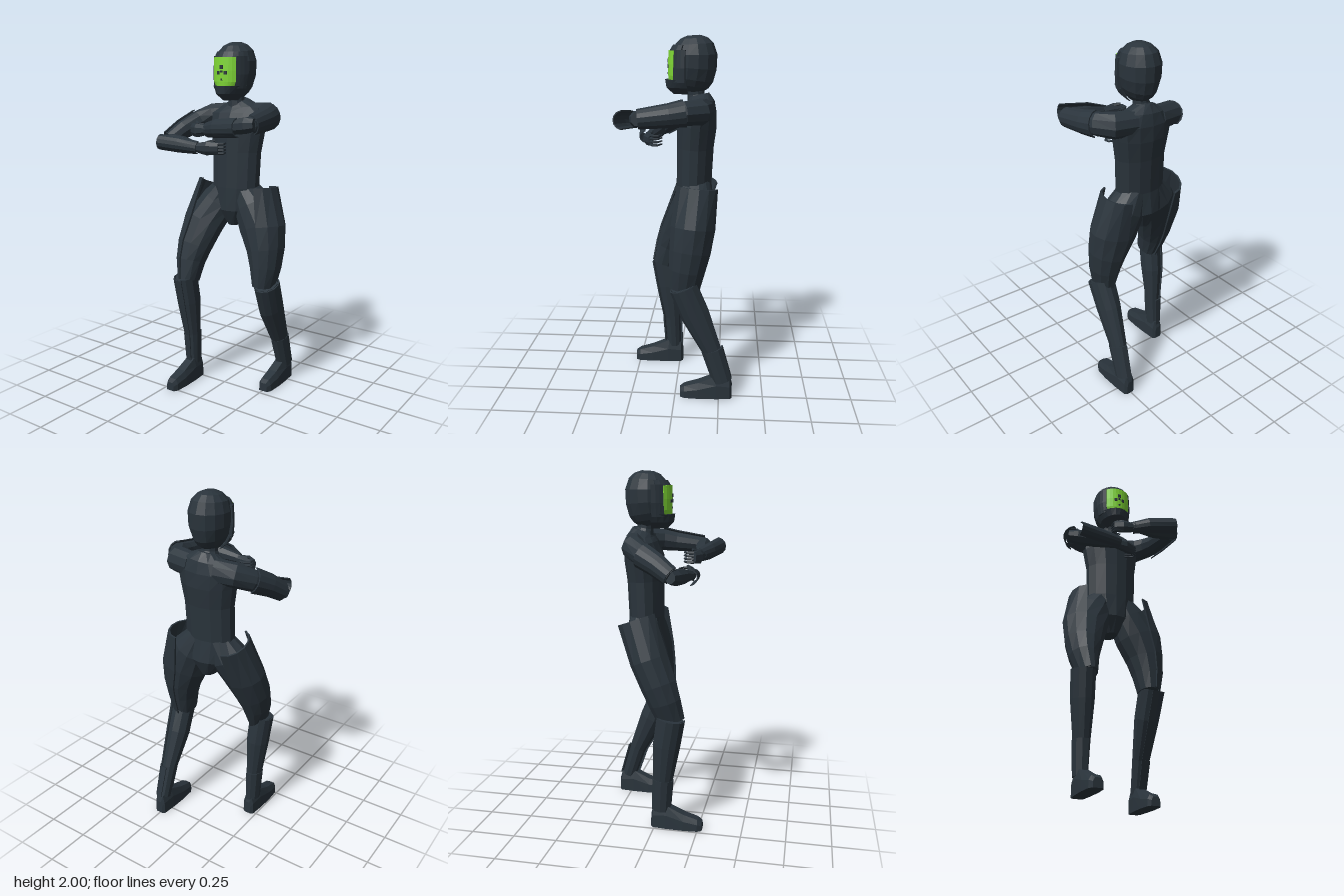
import * as THREE from 'three';

const suit = new THREE.MeshStandardMaterial({ color: 0x2a343c });
suit.name = 'dark slate suit';
const lime = new THREE.MeshStandardMaterial({ color: 0x80d836 });
lime.name = 'lime visor';

// Closed cross-sections, counter-clockwise
const ring = (n) => Array.from({ length: n }, (_, i) => {
  const t = ((i + 0.5) / n) * Math.PI * 2;
  return [Math.cos(t), Math.sin(t)];
});
const arc = (mid, half, inner = 0.9, n = 6) => {
  const pts = [];
  for (let k = 0; k < 2; k++) {
    for (let i = 0; i <= n; i++) {
      const f = k ? n - i : i;
      const t = THREE.MathUtils.degToRad(mid - half + (2 * half * f) / n);
      const r = k ? inner : 1;
      pts.push([Math.cos(t) * r, Math.sin(t) * r]);
    }
  }
  return pts;
};
const sole = [[-1, 0], [1, 0], [0.95, 0.6], [0.6, 1], [-0.6, 1], [-0.95, 0.6]];

const X = new THREE.Vector3(1, 0, 0), Y = new THREE.Vector3(0, 1, 0);

// Sweeps a cross-section through rows of [x, y, z, radiusU, radiusV]; U follows ref
function loft(name, rows, profile, ref = X, material = suit) {
  const c = rows.map((r) => new THREE.Vector3(r[0], r[1], r[2]));
  const n = profile.length, pos = [], idx = [];
  rows.forEach((r, i) => {
    const t = c[Math.min(i + 1, c.length - 1)].clone().sub(c[Math.max(i - 1, 0)]).normalize();
    const u = ref.clone().addScaledVector(t, -ref.dot(t)).normalize();
    const v = t.clone().cross(u);
    for (const [a, b] of profile) {
      const p = c[i].clone().addScaledVector(u, a * r[3]).addScaledVector(v, b * r[4]);
      pos.push(p.x, p.y, p.z);
    }
  });
  for (let i = 0; i < rows.length - 1; i++) {
    for (let j = 0; j < n; j++) {
      const a = i * n + j, b = i * n + ((j + 1) % n);
      idx.push(a, b, b + n, a, b + n, a + n);
    }
  }
  const caps = THREE.ShapeUtils.triangulateShape(profile.map((p) => new THREE.Vector2(...p)), []);
  const end = (rows.length - 1) * n;
  for (const [a, b, d] of caps) idx.push(a, d, b, end + a, end + b, end + d);
  let g = new THREE.BufferGeometry();
  g.setAttribute('position', new THREE.Float32BufferAttribute(pos, 3));
  g.setIndex(idx);
  g = g.toNonIndexed();
  g.computeVertexNormals();
  const m = new THREE.Mesh(g, material);
  m.name = name;
  return m;
}

const grow = (rows, d) => rows.map(([x, y, z, a, b]) => [x, y, z, a + d, b + d]);

// Leg with outer thigh plate, shin guard, ankle cuff and foot
function leg(name, s, thigh, plateTop, shin, footX, footZ) {
  const g = new THREE.Group();
  g.name = name;
  const out = s > 0 ? 0 : 180;
  g.add(loft('thigh', thigh, ring(12)));
  g.add(loft('shin', shin, ring(10)));
  g.add(loft('thighPlate', [plateTop, ...grow(thigh.slice(2), 0.012)], arc(out - s * 8, 84)));
  g.add(loft('shinGuard', grow(shin.slice(0, 3), 0.01), arc(out + s * 20, 85)));
  g.add(loft('ankleCuff', grow(shin.slice(2), 0.014), arc(out, 105, 0.85)));
  const foot = [[-0.02, 0.02, 0.08], [-0.008, 0.035, 0.12], [0.07, 0.042, 0.135],
    [0.17, 0.045, 0.09], [0.25, 0.04, 0.066], [0.275, 0.026, 0.05]];
  g.add(loft('foot', foot.map(([fz, w, h]) => [footX, 0, fz + footZ, w, h]), sole));
  return g;
}

// Arm with guards, hand and curled fingers
function arm(name, s, upper, fore, hand, guard, tips) {
  const g = new THREE.Group();
  g.name = name;
  g.add(loft('upperArm', upper, ring(10), Y));
  g.add(loft('forearm', fore, ring(8), Y));
  g.add(loft('hand', hand, ring(8), Y));
  g.add(loft('upperArmGuard', grow(upper.slice(2), 0.012), arc(-s * 75, 75), Y));
  g.add(loft('forearmGuard', guard, arc(90, 80, 0.88), Y));
  for (let i = 0; i < 4; i++) {
    const dy = (i - 1.5) * 0.017;
    const rows = tips.map(([x, y, z], k) => [x, y + dy, z, 0.009 - k * 0.0015, 0.009 - k * 0.0015]);
    g.add(loft('finger', rows, ring(5), Y));
  }
  const [hx, hy, hz] = hand[1];
  g.add(loft('thumb', [[hx, hy + 0.03, hz, 0.012, 0.012],
    [hx - s * 0.03, hy + 0.042, hz - 0.03, 0.008, 0.008]], ring(5), Y));
  return g;
}

function head() {
  const g = new THREE.Group();
  g.name = 'head';
  const cx = 0.015;
  g.add(loft('helmet', [[cx, 1.705, -0.07, 0.045, 0.06], [cx, 1.735, -0.074, 0.07, 0.095],
    [cx, 1.77, -0.08, 0.09, 0.113], [cx, 1.83, -0.089, 0.107, 0.122],
    [cx, 1.9, -0.091, 0.109, 0.123], [cx, 1.955, -0.088, 0.092, 0.105],
    [cx, 1.985, -0.086, 0.062, 0.074], [cx, 2, -0.085, 0.028, 0.035]], ring(14)));
  // Rim pieces framing the face
  g.add(loft('chinGuard', [[cx, 1.69, -0.065, 0.04, 0.09], [cx, 1.725, -0.065, 0.078, 0.127],
    [cx, 1.768, -0.065, 0.1, 0.134]], arc(-90, 85, 0.85, 10)));
  g.add(loft('brow', [[cx, 1.917, -0.082, 0.109, 0.129], [cx, 1.95, -0.082, 0.096, 0.108]],
    arc(-90, 62, 0.85, 8)));
  for (const s of [-1, 1]) {
    g.add(loft('cheek', [[cx, 1.755, -0.08, 0.104, 0.138], [cx, 1.83, -0.08, 0.114, 0.133],
      [cx, 1.925, -0.08, 0.109, 0.128]], arc(-90 + s * 58, 16, 0.85, 3)));
  }
  g.add(loft('visor', [[cx, 1.762, -0.08, 0.092, 0.13], [cx, 1.79, -0.08, 0.109, 0.132],
    [cx, 1.85, -0.08, 0.111, 0.133], [cx, 1.922, -0.08, 0.109, 0.13]],
  arc(-90, 41, 0.95, 8), X, lime));
  // Small dark marks on the visor
  for (const [dx, y, w] of [[-0.022, 1.838, 0.018], [0.024, 1.838, 0.018], [0, 1.868, 0.02],
    [0, 1.845, 0.012], [0, 1.802, 0.01]]) {
    const mark = new THREE.Mesh(new THREE.BoxGeometry(w, w, 0.006), suit);
    mark.name = 'visorMark';
    mark.position.set(cx + dx, y, -0.08 + 0.133 * Math.sqrt(1 - (dx / 0.11) ** 2));
    mark.rotation.y = Math.asin(dx / 0.11);
    g.add(mark);
  }
  return g;
}

export function createModel() {
  const model = new THREE.Group();
  model.name = 'armouredFigure';
  model.add(head());
  model.add(loft('neck', [[0.01, 1.64, -0.11, 0.065, 0.06], [0.013, 1.69, -0.1, 0.045, 0.046],
    [0.015, 1.78, -0.09, 0.045, 0.048]], ring(10)));
  model.add(loft('torso', [[0.015, 0.975, -0.1, 0.04, 0.06], [0.015, 1.07, -0.1, 0.125, 0.105],
    [0.015, 1.2, -0.092, 0.148, 0.098], [0.018, 1.4, -0.098, 0.152, 0.102],
    [0.018, 1.52, -0.105, 0.172, 0.11], [0.017, 1.605, -0.123, 0.185, 0.092],
    [0.015, 1.65, -0.126, 0.13, 0.076], [0.012, 1.685, -0.118, 0.056, 0.055]], ring(14)));

  model.add(leg('leftLeg', 1,
    [[0.07, 1.2, -0.1, 0.07, 0.085], [0.125, 1.1, -0.105, 0.115, 0.108],
      [0.188, 0.98, -0.095, 0.135, 0.112], [0.222, 0.85, -0.08, 0.105, 0.103],
      [0.232, 0.75, -0.065, 0.083, 0.09], [0.232, 0.64, -0.05, 0.056, 0.075]],
    [0.165, 1.2, -0.115, 0.1, 0.115],
    [[0.25, 0.66, -0.05, 0.07, 0.074], [0.245, 0.5, -0.115, 0.064, 0.076],
      [0.25, 0.29, -0.21, 0.044, 0.05], [0.255, 0.1, -0.27, 0.036, 0.044]], 0.255, -0.305));
  model.add(leg('rightLeg', -1,
    [[-0.04, 1.2, -0.1, 0.07, 0.08], [-0.095, 1.1, -0.085, 0.112, 0.1],
      [-0.16, 0.98, -0.035, 0.123, 0.103], [-0.188, 0.84, 0.025, 0.1, 0.095],
      [-0.195, 0.75, 0.058, 0.078, 0.085], [-0.187, 0.64, 0.092, 0.05, 0.07]],
    [-0.14, 1.2, -0.115, 0.095, 0.115],
    [[-0.212, 0.66, 0.092, 0.064, 0.072], [-0.205, 0.5, 0.066, 0.06, 0.07],
      [-0.198, 0.29, 0.045, 0.042, 0.048], [-0.197, 0.1, 0.036, 0.033, 0.042]], -0.2, 0));

  model.add(arm('leftArm', 1,
    [[0.09, 1.605, -0.145, 0.07, 0.06], [0.2, 1.61, -0.125, 0.07, 0.068],
      [0.25, 1.608, -0.05, 0.064, 0.06], [0.268, 1.597, 0.03, 0.055, 0.053],
      [0.285, 1.58, 0.19, 0.043, 0.042]],
    [[0.318, 1.585, 0.19, 0.035, 0.03], [0.27, 1.58, 0.195, 0.045, 0.042],
      [0.16, 1.565, 0.2, 0.043, 0.04], [0.03, 1.545, 0.22, 0.027, 0.024]],
    [[0.04, 1.545, 0.215, 0.026, 0.022], [-0.03, 1.54, 0.21, 0.04, 0.026],
      [-0.078, 1.54, 0.19, 0.034, 0.016]],
    [[0.03, 1.545, 0.2, 0.04, 0.034], [0.12, 1.56, 0.24, 0.05, 0.045],
      [0.275, 1.575, 0.27, 0.052, 0.055]],
    [[-0.074, 1.54, 0.19], [-0.076, 1.54, 0.155], [-0.05, 1.54, 0.135], [-0.018, 1.54, 0.137]]));
  model.add(arm('rightArm', -1,
    [[-0.06, 1.6, -0.145, 0.07, 0.06], [-0.165, 1.595, -0.125, 0.066, 0.066],
      [-0.222, 1.56, -0.06, 0.06, 0.06], [-0.265, 1.515, 0.03, 0.053, 0.053],
      [-0.3, 1.462, 0.11, 0.045, 0.045]],
    [[-0.33, 1.46, 0.11, 0.033, 0.03], [-0.28, 1.455, 0.125, 0.045, 0.04],
      [-0.18, 1.45, 0.145, 0.043, 0.038], [-0.06, 1.44, 0.168, 0.027, 0.024]],
    [[-0.07, 1.44, 0.168, 0.026, 0.022], [0, 1.44, 0.167, 0.04, 0.026],
      [0.058, 1.44, 0.145, 0.034, 0.016]],
    [[-0.295, 1.46, 0.2, 0.045, 0.048], [-0.17, 1.452, 0.19, 0.045, 0.045],
      [-0.045, 1.442, 0.18, 0.036, 0.042]],
    [[0.055, 1.44, 0.147], [0.08, 1.44, 0.13], [0.077, 1.44, 0.105], [0.032, 1.44, 0.088]]));
  return model;
}
